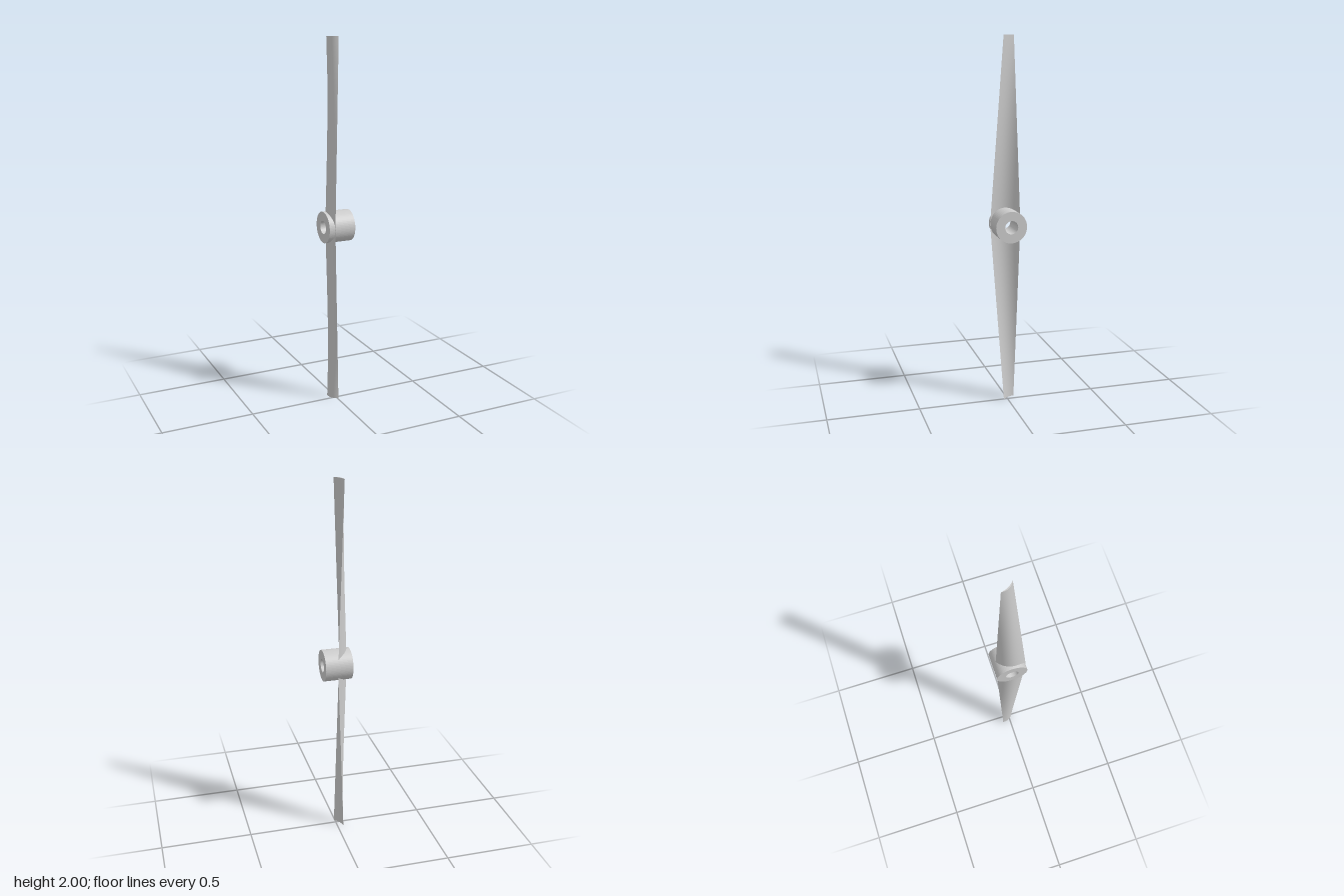
import * as THREE from 'three';

const HUB_R = 0.0855, BORE_R = 0.036, HUB_LEN = 0.15, HUB_Z = -0.002, MID_Y = 1;
const lerp = THREE.MathUtils.lerp;

// Blade sections as [x, z] edges a and b, with the camber of the outer and inner faces
const ROOT = { a: [0.005, -0.071], b: [-0.043, 0.085], outer: 0.043, inner: 0.033 };
const TIP = { a: [-0.034, -0.045], b: [0.005, 0.022], outer: 0.014, inner: 0.007 };

// Point on a cambered section: u runs edge to edge, k = 0 outer face, 1 inner face
function sectionPoint(s, u, k) {
  const dx = s.b[0] - s.a[0], dz = s.b[1] - s.a[1], len = Math.hypot(dx, dz);
  const bulge = 4 * u * (1 - u) * lerp(s.outer, s.inner, k);
  return [s.a[0] + dx * u - (dz / len) * bulge, s.a[1] + dz * u + (dx / len) * bulge];
}

// Smooth surface patch from a rule fn(u, v) -> [x, y, z]
function patch(fn, nu, nv, flip) {
  const pos = [], index = [];
  for (let j = 0; j <= nv; j++)
    for (let i = 0; i <= nu; i++) pos.push(...fn(i / nu, j / nv));
  for (let j = 0; j < nv; j++)
    for (let i = 0; i < nu; i++) {
      const a = j * (nu + 1) + i, b = a + 1, c = a + nu + 1, d = c + 1;
      if (flip) index.push(a, d, b, a, c, d);
      else index.push(a, b, d, a, d, c);
    }
  const geo = new THREE.BufferGeometry();
  geo.setAttribute('position', new THREE.Float32BufferAttribute(pos, 3));
  geo.setIndex(index);
  geo.computeVertexNormals();
  return geo;
}

// Twisted, tapered blade; dir = 1 points up, -1 is its mirror image
function createBlade(dir, material) {
  const blade = new THREE.Group();
  const point = (u, v, k) => {
    const r = sectionPoint(ROOT, u, k), q = sectionPoint(TIP, u, k);
    // Start inside the hub wall so the bore stays open
    const start = Math.sqrt(Math.max(0, 0.06 ** 2 - (r[1] - HUB_Z) ** 2));
    const t = lerp(start, 1, v);
    return [lerp(r[0], q[0], t), MID_Y + dir * t, lerp(r[1], q[1], t)];
  };
  const add = (name, geo) => {
    const mesh = new THREE.Mesh(geo, material);
    mesh.name = name;
    blade.add(mesh);
  };
  add('bladeOuterFace', patch((u, v) => point(u, v, 0), 20, 40, dir < 0));
  add('bladeInnerFace', patch((u, v) => point(u, v, 1), 20, 40, dir > 0));
  add('bladeTip', patch((u, v) => point(u, 1, v), 20, 1, dir < 0));
  return blade;
}

export function createModel() {
  const model = new THREE.Group();
  model.name = 'propeller';
  const material = new THREE.MeshStandardMaterial({ color: 0xcccccc });
  const bladeMaterial = new THREE.MeshStandardMaterial({ color: 0xcccccc, side: THREE.DoubleSide });

  // Hub: a ring extruded along x with an open bore
  const ring = new THREE.Shape().absarc(0, 0, HUB_R, 0, Math.PI * 2);
  ring.holes.push(new THREE.Path().absarc(0, 0, BORE_R, 0, Math.PI * 2, true));
  const hubGeo = new THREE.ExtrudeGeometry(ring, { depth: HUB_LEN, bevelEnabled: false, curveSegments: 32 });
  hubGeo.translate(0, 0, -HUB_LEN / 2);
  hubGeo.rotateY(Math.PI / 2);
  const hub = new THREE.Mesh(hubGeo, material);
  hub.name = 'hub';
  hub.position.set(0, MID_Y, HUB_Z);
  model.add(hub);

  // Two mirrored blades
  for (const dir of [1, -1]) {
    const blade = createBlade(dir, bladeMaterial);
    blade.name = dir > 0 ? 'upperBlade' : 'lowerBlade';
    model.add(blade);
  }
  return model;
}
